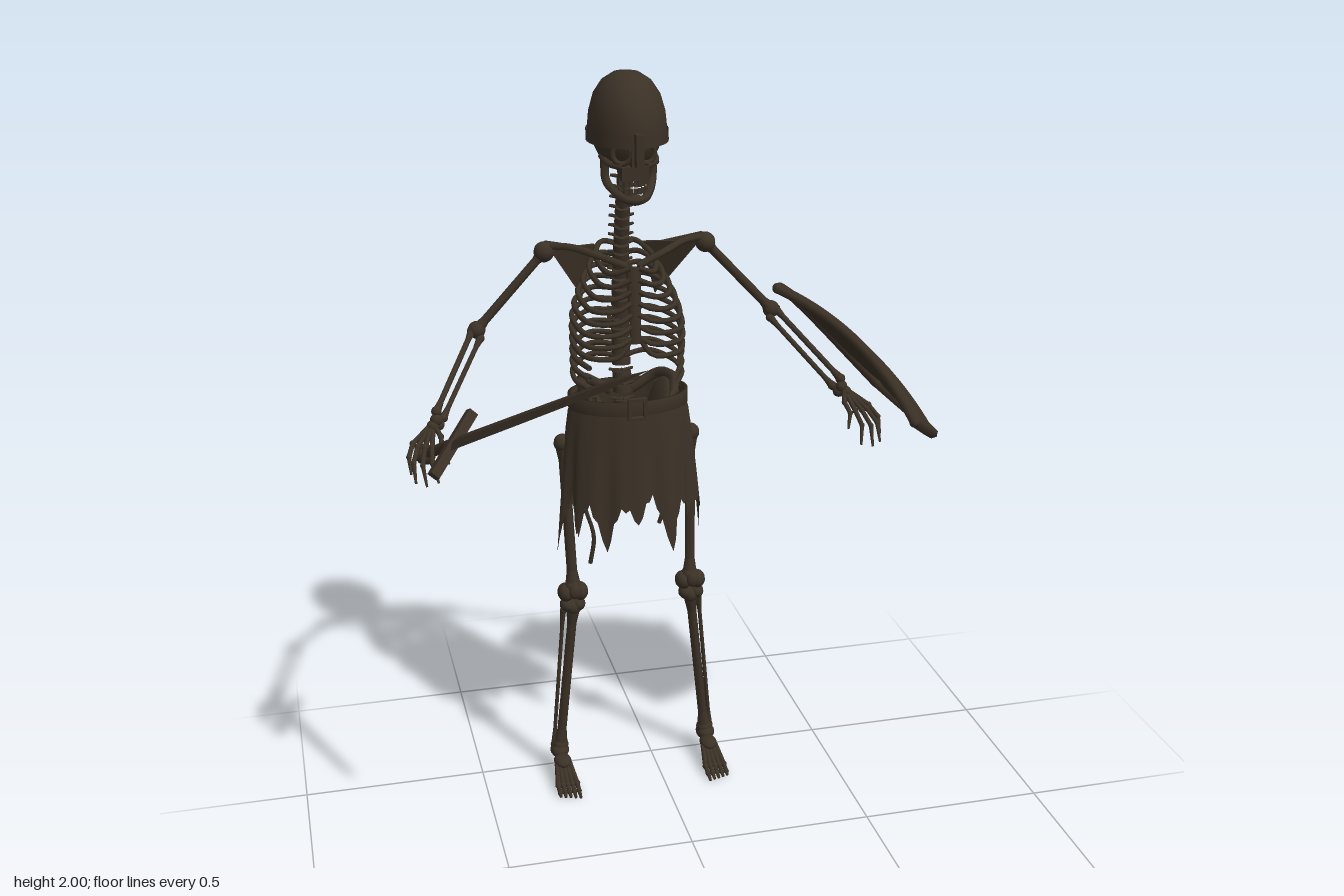
import * as THREE from 'three';
import { ConvexGeometry } from 'three/addons/geometries/ConvexGeometry.js';

const V = (x, y, z) => new THREE.Vector3(x, y, z);
const mat = new THREE.MeshStandardMaterial({ color: 0x3b3126, side: THREE.DoubleSide });
mat.name = 'darkAgedBrown';

function add(parent, name, geo, pos) {
  const m = new THREE.Mesh(geo, mat);
  m.name = name;
  if (pos) m.position.copy(pos);
  parent.add(m);
  return m;
}
function ball(parent, name, pos, rx, ry = rx, rz = rx) {
  const m = add(parent, name, new THREE.SphereGeometry(1, 14, 10), pos);
  m.scale.set(rx, ry, rz);
  return m;
}
// Tapered rod from a to b
function rod(parent, name, a, b, ra, rb = ra, sides = 8) {
  const d = b.clone().sub(a);
  const m = add(parent, name, new THREE.CylinderGeometry(rb, ra, d.length(), sides), a.clone().lerp(b, 0.5));
  m.quaternion.setFromUnitVectors(V(0, 1, 0), d.normalize());
  return m;
}
// Long bone: slim shaft with flared, knobbed ends
function bone(parent, name, a, b, r) {
  const p = a.clone().lerp(b, 0.12), q = a.clone().lerp(b, 0.88);
  rod(parent, name, p, q, r * 0.8);
  rod(parent, name, a, p, r * 1.25, r * 0.8);
  rod(parent, name, q, b, r * 0.8, r * 1.25);
  ball(parent, name, a, r * 1.4);
  ball(parent, name, b, r * 1.4);
}
function tube(parent, name, pts, r, seg = 20) {
  return add(parent, name, new THREE.TubeGeometry(new THREE.CatmullRomCurve3(pts), seg, r, 6));
}
// Surface from a grid of points: f(i, j) for i in 0..n, j in 0..m
function grid(n, m, f) {
  const pos = [], idx = [];
  for (let i = 0; i <= n; i++) for (let j = 0; j <= m; j++) pos.push(...f(i, j).toArray());
  for (let i = 0; i < n; i++) for (let j = 0; j < m; j++) {
    const a = i * (m + 1) + j, b = a + m + 1;
    idx.push(a, b, a + 1, b, b + 1, a + 1);
  }
  const g = new THREE.BufferGeometry();
  g.setAttribute('position', new THREE.Float32BufferAttribute(pos, 3));
  g.setIndex(idx);
  g.computeVertexNormals();
  return g;
}

function buildHead(body) {
  const g = new THREE.Group(); g.name = 'head'; body.add(g);
  ball(g, 'cranium', V(0, 1.845, -0.425), 0.088, 0.1, 0.108);
  ball(g, 'skullBase', V(0, 1.785, -0.455), 0.06, 0.03, 0.06);
  add(g, 'upperJaw', new THREE.BoxGeometry(0.07, 0.035, 0.055), V(0, 1.758, -0.35));
  add(g, 'noseBridge', new THREE.BoxGeometry(0.022, 0.05, 0.04), V(0, 1.8, -0.335));
  for (let i = -3; i <= 3; i++) {
    const z = -0.325 - i * i * 0.003;
    add(g, 'upperTooth', new THREE.BoxGeometry(0.009, 0.018, 0.01), V(i * 0.011, 1.734, z));
    add(g, 'lowerTooth', new THREE.BoxGeometry(0.009, 0.014, 0.01), V(i * 0.011, 1.713, z - 0.002));
  }
  for (const s of [-1, 1]) {
    const e = add(g, 'eyeRim', new THREE.TorusGeometry(0.023, 0.007, 6, 16), V(s * 0.032, 1.805, -0.335));
    e.rotation.y = s * 0.3;
    tube(g, 'cheekBone', [V(s * 0.03, 1.775, -0.33), V(s * 0.06, 1.78, -0.36), V(s * 0.067, 1.79, -0.42)], 0.009);
  }
  const side = [[0.062, 1.79, -0.405], [0.06, 1.73, -0.4], [0.042, 1.704, -0.36], [0.018, 1.692, -0.325]];
  const L = side.map(p => V(...p)), R = side.map(p => V(-p[0], p[1], p[2])).reverse();
  tube(g, 'lowerJaw', [...L, ...R], 0.011, 36);
  ball(g, 'chin', V(0, 1.692, -0.325), 0.022, 0.014, 0.012);

  // Helmet: dome, brim band and nose guard
  const prof = [[0.99, 1.825], [1, 1.86], [0.96, 1.9], [0.84, 1.942], [0.62, 1.975], [0.33, 1.994], [0, 2]];
  const dome = add(g, 'helmetDome', new THREE.LatheGeometry(prof.map(p => new THREE.Vector2(...p)), 32), V(0, 0, -0.418));
  dome.scale.set(0.1, 1, 0.125);
  const brim = add(g, 'helmetBrim', new THREE.CylinderGeometry(1, 1, 0.03, 32, 1, true), V(0, 1.842, -0.418));
  brim.scale.set(0.104, 1, 0.129);
  const lip = add(g, 'helmetLip', new THREE.RingGeometry(0.9, 1, 32), V(0, 1.827, -0.418));
  lip.rotation.x = Math.PI / 2;
  lip.scale.set(0.104, 0.129, 1);
  add(g, 'noseGuard', new THREE.BoxGeometry(0.02, 0.08, 0.026), V(0, 1.825, -0.275));
}

function buildTorso(body) {
  const g = new THREE.Group(); g.name = 'torso'; body.add(g);
  // Spine with backward pointing spurs
  const spine = new THREE.CatmullRomCurve3([V(0, 1.78, -0.45), V(0, 1.66, -0.483), V(0, 1.55, -0.51), V(0, 1.45, -0.53),
    V(0, 1.33, -0.545), V(0, 1.22, -0.54), V(0, 1.06, -0.515)]);
  for (let i = 0; i < 26; i++) {
    const t = i / 25, p = spine.getPoint(t), r = 0.018 + 0.009 * t;
    const d = spine.getTangent(t);
    rod(g, 'vertebra', p, p.clone().addScaledVector(d, 0.018), r, r, 10);
    rod(g, 'spineSpur', p, p.clone().add(V(0, -0.02, -0.04)), 0.009, 0.003, 6);
    for (const s of [-1, 1]) rod(g, 'vertebraWing', p, p.clone().add(V(s * 0.033, 0.004, -0.012)), 0.007, 0.004, 6);
  }
  rod(g, 'spinalCore', V(0, 1.77, -0.455), V(0, 1.55, -0.51), 0.01);
  // Ribs hang from the spine and sweep to the breastbone
  for (let i = 0; i < 11; i++) {
    const y = 1.53 - i * 0.031, t = i / 10;
    const w = 0.075 + 0.07 * Math.sin(Math.min(1, t * 1.7) * Math.PI / 2);
    const floating = i > 7, zf = -0.37 + 0.03 * Math.sin(t * Math.PI);
    for (const s of [-1, 1]) {
      const pts = [V(0, y, -0.535 - 0.012 * Math.sin(t * 3)), V(s * w * 0.55, y + 0.004, -0.56), V(s * w * 0.95, y - 0.012, -0.505),
        V(s * w, y - 0.026, -0.44), V(s * w * 0.82, y - 0.038, zf - 0.018)];
      if (!floating) pts.push(V(s * 0.045, y - 0.036, zf), V(s * 0.01, Math.max(1.325, y - 0.02), -0.352));
      tube(g, 'rib', pts, 0.0075, 26);
    }
  }
  const sternum = rod(g, 'breastbone', V(0, 1.51, -0.365), V(0, 1.31, -0.347), 0.02, 0.014);
  sternum.scale.z = 0.5;
  for (const s of [-1, 1]) {
    tube(g, 'collarBone', [V(s * 0.015, 1.51, -0.375), V(s * 0.09, 1.54, -0.39), V(s * 0.15, 1.555, -0.43), V(s * 0.21, 1.555, -0.46)], 0.01);
    const tri = [V(s * 0.2, 1.545, -0.47), V(s * 0.065, 1.53, -0.555), V(s * 0.1, 1.385, -0.565)];
    add(g, 'shoulderBlade', new ConvexGeometry(tri.flatMap(p => [p, p.clone().add(V(0, 0, 0.012))])));
    rod(g, 'shoulderBladeRidge', V(s * 0.07, 1.51, -0.565), V(s * 0.21, 1.555, -0.47), 0.007, 0.012);
    // Hip bones
    const hip = ball(g, 'hipBone', V(s * 0.095, 1.1, -0.47), 0.03, 0.075, 0.085);
    hip.rotation.z = -s * 0.35;
    tube(g, 'hipCrest', [V(s * 0.03, 1.12, -0.55), V(s * 0.1, 1.165, -0.535), V(s * 0.125, 1.175, -0.46), V(s * 0.11, 1.15, -0.385)], 0.014);
    tube(g, 'pubicBone', [V(s * 0.1, 1.04, -0.45), V(s * 0.05, 1, -0.41), V(0, 1.01, -0.4)], 0.014);
  }
}

function buildClothing(body) {
  const g = new THREE.Group(); g.name = 'clothing'; body.add(g);
  // Ragged skirt: hem heights alternate between tips and tears
  const hem = [0.8, 0.88, 0.71, 0.85, 0.79, 0.84, 0.72, 0.87, 0.78, 0.86, 0.7, 0.82, 0.74, 0.89, 0.76, 0.84,
    0.69, 0.86, 0.75, 0.83, 0.7, 0.88, 0.77, 0.86, 0.72, 0.85];
  const cols = hem.length * 4;
  add(g, 'raggedSkirt', grid(cols, 8, (i, j) => {
    const c = i % cols, k = Math.floor(c / 4), f = (c % 4) / 4;
    const bottom = hem[k] + (hem[(k + 1) % hem.length] - hem[k]) * f + (c % 4 === 2 ? 0.02 : 0);
    const y = 1.14 + (bottom - 1.14) * j / 8, d = (1.14 - y) / 0.4;
    const a = c / cols * Math.PI * 2;
    const r = 1 + 0.05 * d * Math.cos(a * 9 + 1) + 0.03 * d * Math.sin(a * 17);
    return V(Math.sin(a) * (0.15 + 0.045 * Math.sqrt(d)) * r, y, -0.457 + Math.cos(a) * (0.1 + 0.018 * d) * r);
  }));
  // Loose cloth threads
  tube(g, 'looseThread', [V(-0.14, 0.85, -0.37), V(-0.12, 0.77, -0.365), V(-0.13, 0.69, -0.37)], 0.006);
  tube(g, 'looseThread', [V(0.11, 0.86, -0.55), V(0.13, 0.78, -0.565), V(0.11, 0.7, -0.575)], 0.006);
  // Belt with square buckle
  const beltProfile = [[0.96, 1.112], [1.02, 1.112], [1.02, 1.15], [0.96, 1.15], [0.96, 1.112]].map(p => new THREE.Vector2(...p));
  const belt = add(g, 'belt', new THREE.LatheGeometry(beltProfile, 40), V(0, 0, -0.457));
  belt.scale.set(0.16, 1, 0.112);
  for (const s of [-1, 1]) {
    add(g, 'buckleSide', new THREE.BoxGeometry(0.009, 0.058, 0.014), V(s * 0.021, 1.132, -0.338));
    add(g, 'buckleBar', new THREE.BoxGeometry(0.05, 0.009, 0.014), V(0, 1.132 + s * 0.026, -0.338));
  }
}

function buildArm(body, s) {
  const g = new THREE.Group(); g.name = s > 0 ? 'leftArm' : 'rightArm'; body.add(g);
  const P = (x, y, z) => V(s * x, y, z);
  const shoulder = P(0.215, 1.54, -0.46), elbow = P(0.398, 1.345, -0.458);
  bone(g, 'upperArm', shoulder, elbow, 0.015);
  ball(g, 'shoulderJoint', shoulder, 0.027);
  ball(g, 'elbowJoint', elbow, 0.023);
  bone(g, 'forearmOuter', P(0.41, 1.345, -0.455), P(0.533, 1.2, -0.26), 0.0095);
  bone(g, 'forearmInner', P(0.392, 1.325, -0.445), P(0.515, 1.178, -0.272), 0.0085);
  for (const p of [[0.535, 1.18, -0.255], [0.545, 1.165, -0.25], [0.53, 1.165, -0.262]]) ball(g, 'wristBone', P(...p), 0.016);
  const knuckles = [[0.53, 1.15, -0.21], [0.555, 1.13, -0.195], [0.573, 1.13, -0.195], [0.59, 1.13, -0.205], [0.6, 1.135, -0.22]];
  const tips = [[0.52, 1.1, -0.145], [0.55, 1.06, -0.125], [0.58, 1.055, -0.12], [0.605, 1.06, -0.135], [0.613, 1.075, -0.16]];
  knuckles.forEach((k, i) => {
    const a = P(0.54 + i * 0.004, 1.165, -0.247), b = P(...k), e = P(...tips[i]);
    const mid = b.clone().lerp(e, 0.5).add(P(0.008, 0.008, 0.006));
    rod(g, 'palmBone', a, b, 0.0065);
    ball(g, 'knuckle', b, 0.008);
    rod(g, 'finger', b, mid, 0.006);
    ball(g, 'fingerJoint', mid, 0.007);
    rod(g, 'fingerTip', mid, e, 0.006, 0.003);
  });
}

function buildLeg(body, s) {
  const g = new THREE.Group(); g.name = s > 0 ? 'leftLeg' : 'rightLeg'; body.add(g);
  const P = (x, y, z) => V(s * x, y, z);
  rod(g, 'thighNeck', P(0.115, 1.045, -0.465), P(0.178, 1.005, -0.478), 0.017);
  bone(g, 'thighBone', P(0.178, 1.005, -0.478), P(0.167, 0.59, -0.443), 0.018);
  for (const d of [-1, 1]) {
    ball(g, 'kneeKnob', P(0.168 + d * 0.02, 0.575, -0.445), 0.023, 0.026, 0.03);
    ball(g, 'shinTop', P(0.17 + d * 0.016, 0.538, -0.443), 0.02, 0.02, 0.024);
  }
  ball(g, 'kneeCap', P(0.167, 0.588, -0.408), 0.017, 0.02, 0.01);
  bone(g, 'shinBone', P(0.168, 0.53, -0.442), P(0.214, 0.085, -0.462), 0.0165);
  bone(g, 'calfBone', P(0.195, 0.515, -0.455), P(0.232, 0.085, -0.468), 0.007);
  // Foot
  ball(g, 'ankle', P(0.217, 0.07, -0.46), 0.027, 0.022, 0.032);
  ball(g, 'heel', P(0.217, 0.05, -0.495), 0.018, 0.02, 0.032);
  ball(g, 'instep', P(0.216, 0.055, -0.42), 0.025, 0.017, 0.035);
  for (let i = -2; i <= 2; i++) {
    const x = 0.216 + i * 0.0135, end = -0.288 - (i + 2) * 0.004;
    const a = P(0.216 + i * 0.009, 0.052, -0.41), b = P(x, 0.02, -0.345), c = P(x, 0.013, -0.315);
    rod(g, 'footBone', a, b, 0.0075);
    ball(g, 'toeKnuckle', b, 0.009);
    rod(g, 'toe', b, c, 0.0065);
    ball(g, 'toeJoint', c, 0.0075);
    rod(g, 'toeTip', c, P(x, 0.006, end), 0.006, 0.004);
  }
}

function buildSword(root) {
  const g = new THREE.Group(); g.name = 'sword'; root.add(g);
  const start = V(-0.63, 1.09, -0.255), tip = V(-0.24, 1.55, 0.593);
  const y = tip.clone().sub(start), len = y.length(); y.normalize();
  const x = V(1, 1, -1); x.addScaledVector(y, -x.dot(y)).normalize();
  g.quaternion.setFromRotationMatrix(new THREE.Matrix4().makeBasis(x, y, x.clone().cross(y)));
  g.position.copy(start);
  ball(g, 'pommel', V(0, 0, 0), 0.027);
  rod(g, 'grip', V(0, 0, 0), V(0, 0.15, 0), 0.013, 0.015);
  add(g, 'crossguard', new THREE.BoxGeometry(0.2, 0.022, 0.026), V(0, 0.155, 0));
  // Diamond section blade
  const rows = [[0.155, 0.024], [0.5, 0.021], [len - 0.14, 0.016], [len, 0.0003]];
  add(g, 'blade', grid(3, 4, (i, j) => {
    const a = j * Math.PI / 2;
    return V(Math.cos(a) * rows[i][1], rows[i][0], Math.sin(a) * rows[i][1] * 0.35);
  }).toNonIndexed()).geometry.computeVertexNormals();
}

function buildShield(root) {
  const g = new THREE.Group(); g.name = 'shield'; root.add(g);
  const u = V(0.564, -0.584, 0.584).normalize(), v = V(0.453, -0.434, -0.779).normalize();
  const n = V(0.7, 0.71, 0), M = V(0.417, 1.328, -0.073);
  const outline = new THREE.SplineCurve([[0.245, 0.005], [0.265, 0.1], [0.265, 0.2], [0.235, 0.285], [0.178, 0.38], [0.1, 0.465], [0, 0.545]]
    .map(p => new THREE.Vector2(...p)));
  const at = (t, k, lift) => {
    const p = outline.getPoint(t), q = p.y / 0.545;
    return M.clone().addScaledVector(u, p.x * k).addScaledVector(v, p.y)
      .addScaledVector(n, 0.042 * (1 - k * k) * (1 - q * q * 0.6) + 0.012 * Math.sin(q * Math.PI) + lift);
  };
  add(g, 'shieldFace', grid(24, 16, (i, j) => at(i / 24, j / 8 - 1, 0.006)));
  add(g, 'shieldBack', grid(24, 16, (i, j) => at(i / 24, 1 - j / 8, -0.008)));
  const edge = k => Array.from({ length: 17 }, (_, i) => at(i / 16, k, 0));
  for (const k of [-1, 1]) tube(g, 'shieldSideRim', edge(k), 0.014, 40);
  tube(g, 'shieldTopRim', Array.from({ length: 9 }, (_, i) => at(0, i / 4 - 1, 0)), 0.014, 24);
  for (const k of [-1, 1]) ball(g, 'shieldCorner', at(0, k, 0), 0.014);
  ball(g, 'shieldPoint', at(1, 0, 0), 0.014);
}

export function createModel() {
  const root = new THREE.Group();
  root.name = 'skeletonWarrior';
  const body = new THREE.Group();
  body.name = 'skeleton';
  body.position.x = -0.062;
  root.add(body);
  buildHead(body);
  buildTorso(body);
  buildClothing(body);
  for (const s of [-1, 1]) { buildArm(body, s); buildLeg(body, s); }
  buildSword(root);
  buildShield(root);
  return root;
}
